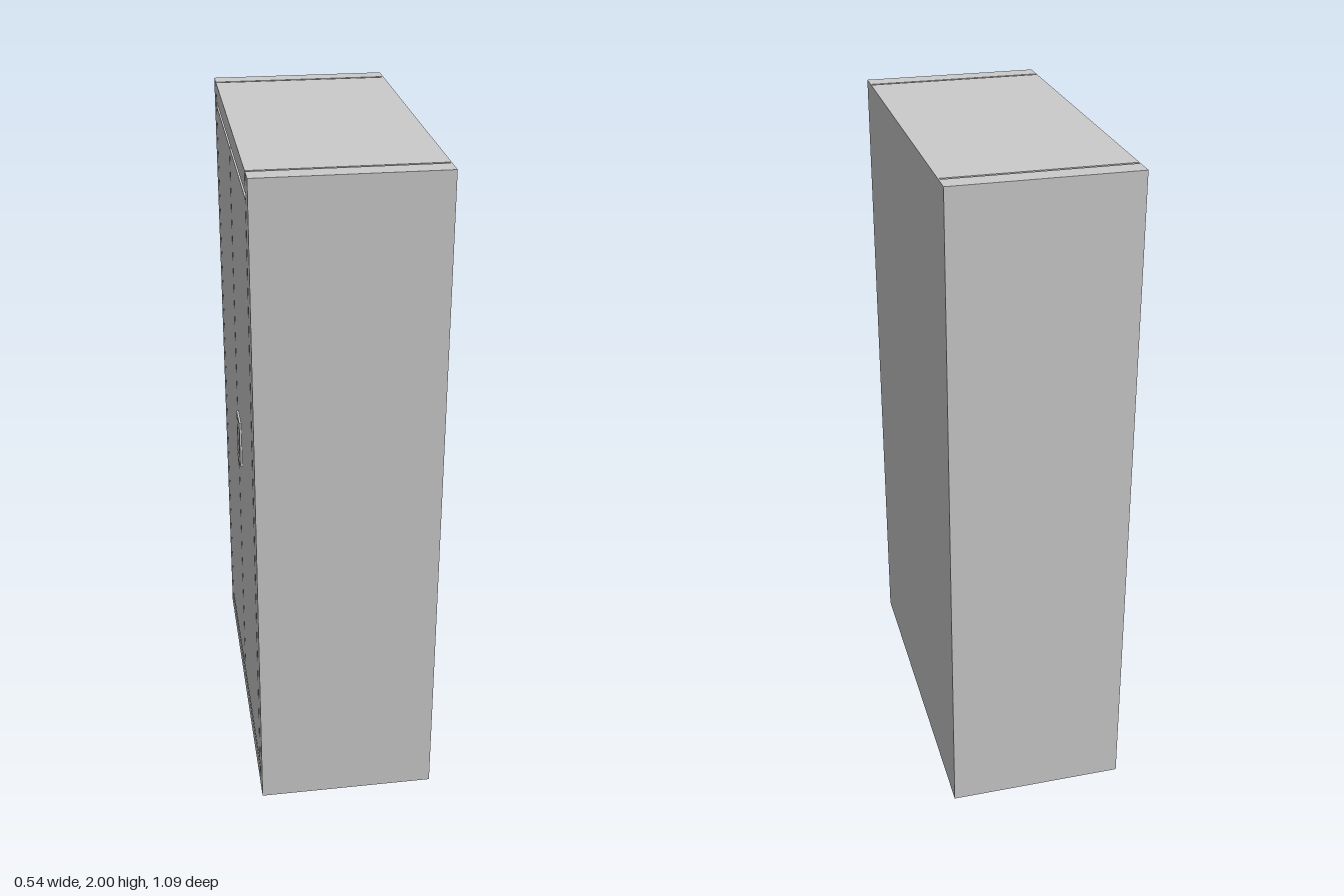
import * as THREE from 'three';

const material = new THREE.MeshStandardMaterial({ color: 0xcccccc, flatShading: true });

const FRONT = -0.263, BACK = 0.272; // the doors face -x
const SKIN = 0.268;                 // inner side of the back sheet
const HALF = 0.546, COLUMN = 0.487, INNER = 0.478;

export function createModel() {
  const model = new THREE.Group();
  model.name = 'lockerCabinet';

  const add = (name, geometry) => {
    const mesh = new THREE.Mesh(geometry, material);
    mesh.name = name;
    model.add(mesh);
    return mesh;
  };

  // Box given by its limits on each axis
  const box = (name, x0, x1, y0, y1, z0, z1) =>
    add(name, new THREE.BoxGeometry(x1 - x0, y1 - y0, z1 - z0))
      .position.set((x0 + x1) / 2, (y0 + y1) / 2, (z0 + z1) / 2);

  // Upright plate in the z-y plane with an optional opening, spanning x0..x1
  const rect = (Type, [z0, z1, y0, y1]) =>
    new Type([[z0, y0], [z1, y0], [z1, y1], [z0, y1]].map(p => new THREE.Vector2(...p)));
  const plate = (name, x0, x1, outer, hole) => {
    const shape = rect(THREE.Shape, outer);
    shape.holes.push(rect(THREE.Path, hole));
    const geometry = new THREE.ExtrudeGeometry(shape, { depth: x1 - x0, bevelEnabled: false });
    geometry.rotateY(-Math.PI / 2).translate(x1, 0, 0);
    add(name, geometry);
  };

  // Carcass: back sheet, core, head and foot rails
  box('backPanel', SKIN, BACK, 0, 2, -HALF, HALF);
  box('core', -0.213, SKIN, 0, 2, -INNER, INNER);
  box('topRail', FRONT, -0.213, 1.942, 2, -INNER, INNER);
  box('bottomRail', FRONT, -0.213, 0, 0.06, -INNER, INNER);

  // Side columns, separated from the core by a shallow groove
  for (const s of [-1, 1]) {
    const span = (a, b) => (s > 0 ? [a, b] : [-b, -a]);
    box('sideColumn', FRONT, SKIN, 0, 2, ...span(COLUMN, HALF));
    box('grooveFiller', -0.252, SKIN, 0.01, 1.99, ...span(INNER, COLUMN));
  }

  // Doors, one with an opening for the recessed handle
  const opening = [0.05, 0.11, 0.975, 1.09];
  box('plainDoor', FRONT, -0.213, 0.08, 1.926, -INNER, -0.005);
  plate('handleDoor', FRONT, -0.213, [0.005, INNER, 0.08, 1.926], opening);

  // Handle: frame, recess floor, lever and lock
  plate('handleFrame', -0.269, FRONT, [0.035, 0.125, 0.955, 1.105], opening);
  box('handleRecess', -0.245, -0.214, 0.975, 1.09, 0.05, 0.11);
  box('handleLever', -0.268, -0.257, 0.96, 1.065, 0.071, 0.089);
  box('handleGrip', -0.272, -0.262, 0.95, 0.972, 0.069, 0.091);
  const pivot = add('handlePivot', new THREE.CylinderGeometry(0.014, 0.014, 0.022, 20));
  pivot.rotation.z = Math.PI / 2;
  pivot.position.set(-0.256, 1.06, 0.08);

  return model;
}
